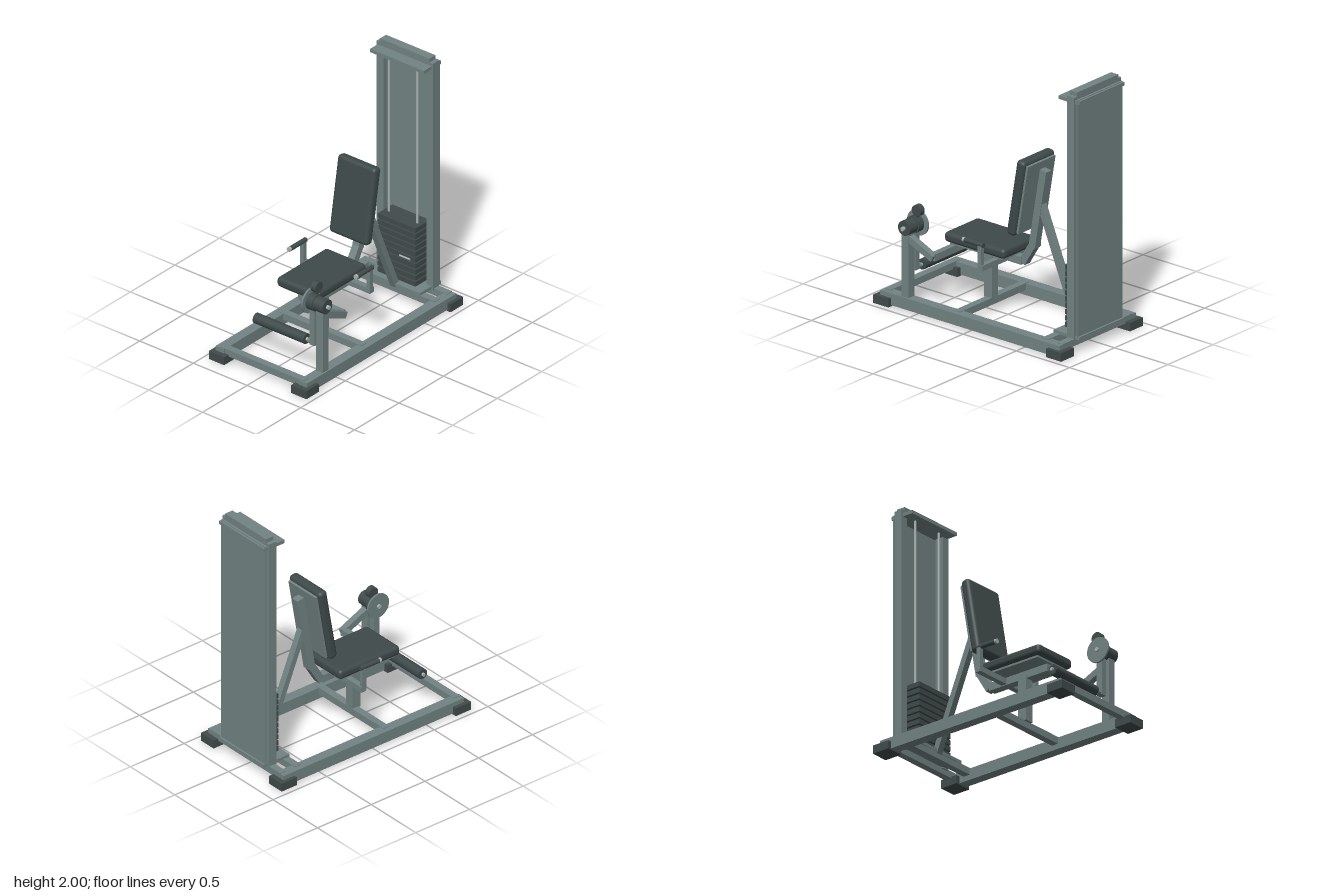
import * as THREE from 'three';
import { RoundedBoxGeometry } from 'three/addons/geometries/RoundedBoxGeometry.js';

const mat = (name, color) => {
  const m = new THREE.MeshStandardMaterial({ color });
  m.name = name;
  return m;
};

export function createModel() {
  const root = new THREE.Group();
  root.name = 'legMachine';
  const frame = mat('frameGrey', 0x728383);
  const dark = mat('darkRubber', 0x414b4b);
  const pad = mat('padVinyl', 0x3e4949);
  const metal = mat('brightSteel', 0xa9b3b1);

  const add = (name, geo, m, x = 0, y = 0, z = 0) => {
    const mesh = new THREE.Mesh(geo, m);
    mesh.name = name;
    mesh.position.set(x, y, z);
    root.add(mesh);
    return mesh;
  };
  // Box given by its limits on each axis
  const box = (name, m, [x0, x1], [y0, y1], [z0, z1]) =>
    add(name, new THREE.BoxGeometry(x1 - x0, y1 - y0, z1 - z0), m, (x0 + x1) / 2, (y0 + y1) / 2, (z0 + z1) / 2);
  // Sloping bar in the side plane between two [y, z] points
  const bar = (name, m, x, a, b, w, t) => {
    const dy = b[0] - a[0], dz = b[1] - a[1];
    const mesh = add(name, new THREE.BoxGeometry(w, Math.hypot(dy, dz), t), m, x, (a[0] + b[0]) / 2, (a[1] + b[1]) / 2);
    mesh.rotation.x = Math.atan2(dz, dy);
    return mesh;
  };
  // Cylinder along x or z between two limits
  const rodX = (name, m, r, x0, x1, y, z, seg = 32) => {
    const mesh = add(name, new THREE.CylinderGeometry(r, r, x1 - x0, seg), m, (x0 + x1) / 2, y, z);
    mesh.rotation.z = Math.PI / 2;
  };
  const rodZ = (name, m, r, z0, z1, x, y) => {
    const mesh = add(name, new THREE.CylinderGeometry(r, r, z1 - z0, 20), m, x, y, (z0 + z1) / 2);
    mesh.rotation.x = Math.PI / 2;
  };

  // Base: rails, feet and cross members
  for (const s of [-1, 1]) {
    add('sideRail', new THREE.BoxGeometry(0.08, 0.09, 1.68), frame, s * 0.385, 0.055, 0);
    for (const e of [-1, 1])
      add('foot', new THREE.BoxGeometry(0.143, 0.065, 0.143), dark, s * 0.383, 0.0325, e * 0.81);
  }
  for (const z of [0.805, 0.15, -0.672, -0.812])
    add('crossMember', new THREE.BoxGeometry(0.77, 0.054, 0.056), frame, 0, 0.078, z);

  // Weight tower
  for (const s of [-1, 1]) {
    add('towerUpright', new THREE.BoxGeometry(0.062, 1.88, 0.068), frame, s * 0.231, 1.03, -0.807);
    add('guideRod', new THREE.CylinderGeometry(0.009, 0.009, 1.81, 16), metal, s * 0.132, 1.02, -0.755);
  }
  box('towerTopBeam', frame, [-0.23, 0.23], [1.92, 2], [-0.841, -0.773]);
  box('towerTopPlate', frame, [-0.25, 0.25], [1.918, 1.945], [-0.88, -0.685]);
  box('towerBottomPlate', frame, [-0.25, 0.25], [0.1, 0.125], [-0.88, -0.64]);
  box('backPanel', frame, [-0.25, 0.25], [0.12, 1.95], [-0.865, -0.853]);
  for (let i = 0; i < 10; i++)
    add('weightPlate', new THREE.BoxGeometry(0.35, 0.037, 0.165), dark, 0, 0.153 + i * 0.0492, -0.763);
  box('stackCore', dark, [-0.03, 0.03], [0.12, 0.6], [-0.785, -0.735]);
  rodX('selectorPin', metal, 0.007, 0.03, 0.13, 0.345, -0.676, 12);

  // Seat frame and back support
  box('seatPost', frame, [-0.036, 0.036], [0.1, 0.45], [0.122, 0.197]);
  box('seatRail', frame, [-0.032, 0.032], [0.43, 0.49], [-0.15, 0.39]);
  bar('seatElbow', frame, 0, [0.45, -0.155], [0.605, -0.248], 0.06, 0.058);
  bar('backUpright', frame, 0, [0.59, -0.247], [1.207, -0.354], 0.06, 0.06);
  bar('rearBrace', frame, 0, [0.94, -0.315], [0.1, -0.66], 0.052, 0.046);

  // Pads with backing plates
  add('seatPad', new RoundedBoxGeometry(0.38, 0.078, 0.566, 5, 0.03), pad, 0, 0.543, 0.163);
  box('seatPlate', frame, [-0.16, 0.16], [0.488, 0.506], [-0.09, 0.41]);
  const tilt = -0.171;
  add('backPad', new RoundedBoxGeometry(0.356, 0.606, 0.078, 5, 0.03), pad, 0, 1.002, -0.213).rotation.x = tilt;
  add('backPlate', new THREE.BoxGeometry(0.305, 0.55, 0.018), frame, 0, 0.994, -0.262).rotation.x = tilt;

  // Side handles
  box('handleBar', frame, [-0.325, 0.325], [0.437, 0.48], [-0.033, 0.012]);
  for (const s of [-1, 1]) {
    add('handlePost', new THREE.BoxGeometry(0.032, 0.185, 0.034), frame, s * 0.31, 0.54, -0.005);
    rodZ('handleGrip', dark, 0.018, -0.034, 0.14, s * 0.31, 0.635);
    rodZ('handleCap', metal, 0.018, 0.14, 0.158, s * 0.31, 0.635);
  }

  // Pivot post and its brace to the seat
  box('pivotPost', frame, [0.35, 0.415], [0.09, 0.6], [0.583, 0.65]);
  box('pivotCrossbar', frame, [0, 0.385], [0.432, 0.486], [0.36, 0.406]);
  bar('pivotBrace', frame, 0.382, [0.452, 0.37], [0.56, 0.61], 0.05, 0.05);

  // Pivot: disc, hubs, shaft and counterweight
  const py = 0.635, pz = 0.615;
  rodX('pivotDisc', frame, 0.098, 0.264, 0.278, py, pz, 40);
  rodX('innerHub', dark, 0.064, 0.278, 0.336, py, pz);
  rodX('outerHub', dark, 0.056, 0.336, 0.428, py, pz);
  rodX('pivotShaft', metal, 0.016, 0.25, 0.45, py, pz, 20);
  rodX('counterweight', dark, 0.043, 0.284, 0.327, 0.747, 0.585);
  bar('counterweightArm', dark, 0.305, [0.64, 0.612], [0.74, 0.587], 0.025, 0.03);

  // Lever arm with shin roller
  box('leverArm', frame, [0.284, 0.33], [0.285, 0.62], [0.59, 0.64]);
  rodX('rollerShaft', metal, 0.014, -0.252, 0.3, 0.3, 0.612, 20);
  rodX('shinRoller', pad, 0.04, -0.237, 0.235, 0.3, 0.612);
  rodX('rollerCollar', frame, 0.022, 0.255, 0.285, 0.3, 0.612, 20);

  return root;
}
